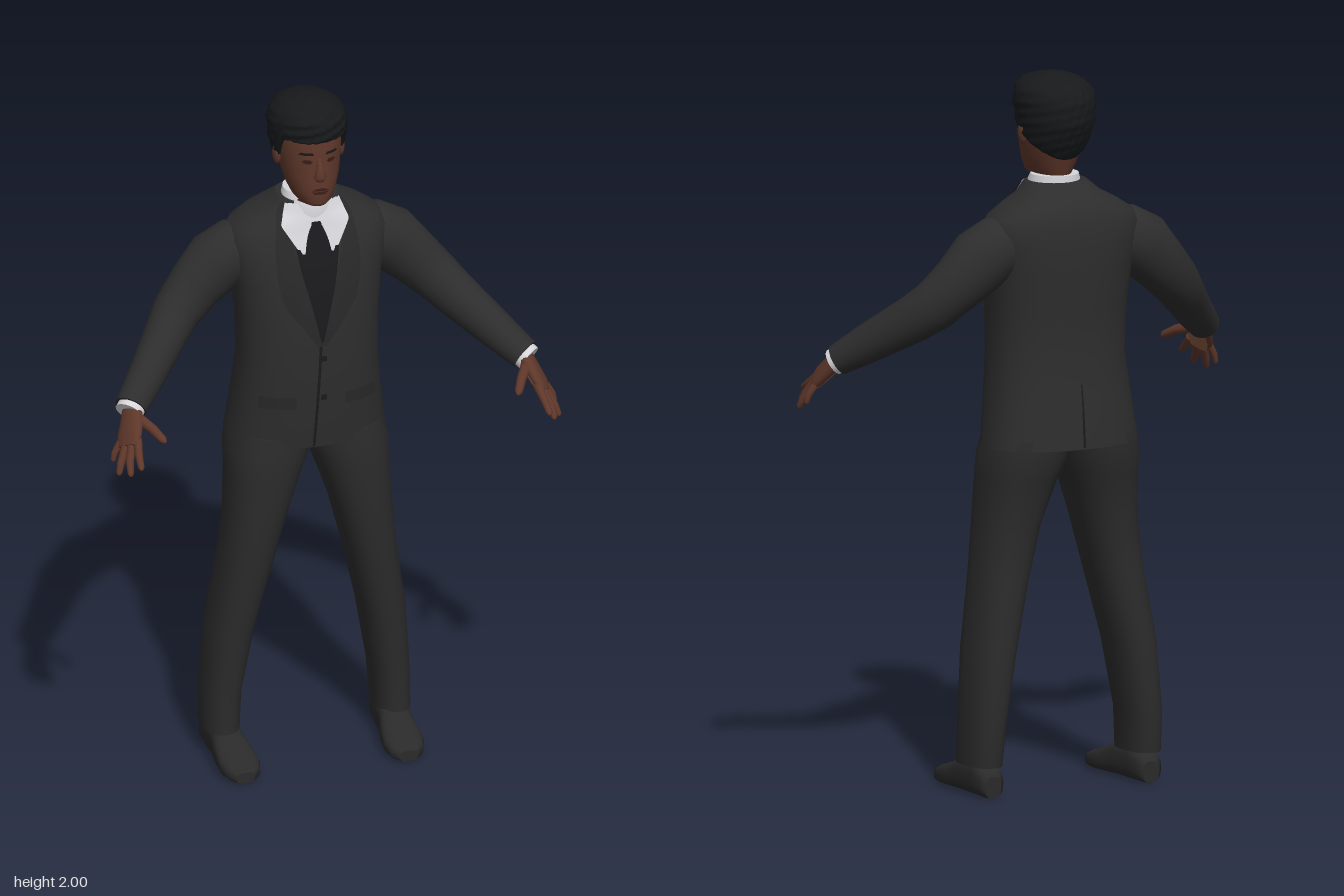
import * as THREE from 'three';

const mat = (name, color, side = THREE.FrontSide) => {
  const m = new THREE.MeshStandardMaterial({ color, side });
  m.name = name;
  return m;
};
const V = (x, y, z) => new THREE.Vector3(x, y, z);
const lerp = THREE.MathUtils.lerp;
const SEG = 40;

// Closed skin over a list of equal-length point loops, with flat end caps
function skin(rings) {
  const n = rings[0].length, pos = [], idx = [];
  const add = (p) => pos.push(p.x, p.y, p.z) / 3 - 1;
  rings.forEach((r) => r.forEach(add));
  for (let i = 0; i < rings.length - 1; i++) {
    for (let j = 0; j < n; j++) {
      const a = i * n + j, b = i * n + (j + 1) % n;
      idx.push(a, b, b + n, a, b + n, a + n);
    }
  }
  [rings[0], rings[rings.length - 1]].forEach((r, end) => {
    const c = add(r.reduce((s, p) => s.add(p), V(0, 0, 0)).divideScalar(n));
    const first = c + 1;
    r.forEach(add);
    for (let j = 0; j < n; j++) {
      const a = first + j, b = first + (j + 1) % n;
      if (end) idx.push(c, a, b); else idx.push(c, b, a);
    }
  });
  return toGeometry(pos, idx);
}

function toGeometry(pos, idx) {
  const g = new THREE.BufferGeometry();
  g.setAttribute('position', new THREE.Float32BufferAttribute(pos, 3));
  g.setIndex(idx);
  g.computeVertexNormals();
  return g;
}

const spow = (v, e) => Math.sign(v) * Math.abs(v) ** e;

// Superellipse loop around c in the plane of u and v
function ring(c, u, v, ru, rv, n = 2, seg = SEG) {
  return Array.from({ length: seg }, (_, j) => {
    const a = j / seg * Math.PI * 2;
    return c.clone().addScaledVector(u, ru * spow(Math.cos(a), 2 / n))
      .addScaledVector(v, rv * spow(Math.sin(a), 2 / n));
  });
}

// Upright body from rows [y, xMin, xMax, zBack, zFront]
function upright(rows, n) {
  return skin(rows.map(([y, a, b, zb, zf]) =>
    ring(V((a + b) / 2, y, (zb + zf) / 2), V(0, 0, 1), V(1, 0, 0), (zf - zb) / 2, (b - a) / 2, n)));
}

// Limb through nodes [point, radius, radius2]
function limb(nodes, ref = V(0, 1, 0), n = 2, seg = 20) {
  return skin(nodes.map(([p, ru, rv = ru], i) => {
    const t = nodes[Math.min(i + 1, nodes.length - 1)][0].clone()
      .sub(nodes[Math.max(i - 1, 0)][0]).normalize();
    const u = ref.clone().cross(t).normalize();
    return ring(p, u, t.clone().cross(u), ru, rv, n, seg);
  }));
}

function rowAt(rows, y) {
  let i = 0;
  while (i < rows.length - 2 && y > rows[i + 1][0]) i++;
  const t = THREE.MathUtils.clamp((y - rows[i][0]) / (rows[i + 1][0] - rows[i][0]), 0, 1);
  return rows[i].map((v, k) => lerp(v, rows[i + 1][k], t));
}

// Thin face laid on the front (dir 1) or back (dir -1) of an upright body; spans are [y, xMin, xMax]
function patch(rows, n, spans, off, dir = 1) {
  const pos = [], idx = [], W = 8, H = 16;
  const y0 = spans[0][0], y1 = spans[spans.length - 1][0];
  for (let i = 0; i <= H; i++) {
    const y = lerp(y0, y1, i / H), [, xa, xb] = rowAt(spans, y), [, a, b, zb, zf] = rowAt(rows, y);
    for (let j = 0; j <= W; j++) {
      const x = lerp(xa, xb, j / W), k = Math.min(0.98, Math.abs(x - (a + b) / 2) / ((b - a) / 2));
      pos.push(x, y, (zb + zf) / 2 + dir * ((zf - zb) / 2 * (1 - k ** n) ** (1 / n) + off));
      if (i < H && j < W) {
        const p = i * (W + 1) + j, q = p + W + 1;
        if (dir > 0) idx.push(p, p + 1, q + 1, p, q + 1, q);
        else idx.push(p, q + 1, p + 1, p, q, q + 1);
      }
    }
  }
  return toGeometry(pos, idx);
}

const flip = (spans, s) => (s > 0 ? spans : spans.map(([y, a, b]) => [y, -b, -a]));

const JACKET = [
  [0.97, -0.225, 0.225, -0.28, 0.025], [1.1, -0.208, 0.208, -0.268, 0.038], [1.22, -0.196, 0.196, -0.248, 0.043],
  [1.35, -0.2, 0.2, -0.255, 0.042], [1.46, -0.212, 0.212, -0.262, 0.03], [1.53, -0.228, 0.228, -0.262, 0.015],
  [1.58, -0.232, 0.232, -0.258, 0], [1.615, -0.21, 0.21, -0.25, -0.012], [1.645, -0.165, 0.165, -0.238, -0.02],
  [1.67, -0.118, 0.118, -0.215, -0.028], [1.7, -0.086, 0.086, -0.178, -0.036],
];
const LEG = [
  [0.085, 0.195, 0.297, -0.213, -0.035], [0.2, 0.188, 0.296, -0.226, -0.037], [0.4, 0.153, 0.282, -0.226, -0.02],
  [0.6, 0.105, 0.25, -0.212, 0.003], [0.75, 0.065, 0.235, -0.213, 0.015], [0.88, 0.02, 0.23, -0.24, 0.02],
  [0.94, -0.005, 0.228, -0.26, 0.02], [1.0, -0.02, 0.212, -0.26, 0.015],
];
const HEAD = [
  [1.62, -0.062, 0.062, -0.165, -0.035], [1.7, -0.058, 0.058, -0.16, -0.025], [1.708, -0.042, 0.042, -0.15, 0.02],
  [1.72, -0.054, 0.054, -0.155, 0.03], [1.75, -0.068, 0.068, -0.165, 0.029], [1.79, -0.079, 0.079, -0.18, 0.028],
  [1.84, -0.087, 0.087, -0.2, 0.022], [1.9, -0.09, 0.09, -0.21, 0.024], [1.95, -0.078, 0.078, -0.19, 0.005],
];
const HAIR = [
  [1.76, -0.07, 0.07, -0.172, 0], [1.81, -0.092, 0.092, -0.205, 0.015], [1.87, -0.104, 0.104, -0.232, 0.026],
  [1.93, -0.109, 0.109, -0.234, 0.034], [1.96, -0.1, 0.1, -0.22, 0.032], [1.98, -0.08, 0.08, -0.19, 0.015],
  [1.993, -0.052, 0.052, -0.15, -0.03], [1.998, -0.02, 0.02, -0.115, -0.07],
];

// Short wavy hair with a high hairline in front and a low nape
function hairGeometry() {
  const rings = [], N = 64, H = 22;
  for (let i = -1; i <= H; i++) {
    rings.push(Array.from({ length: N }, (_, j) => {
      const a = j / N * Math.PI * 2, c = Math.cos(a);
      const low = c > 0 ? lerp(1.83, 1.905, THREE.MathUtils.smoothstep(c, 0.2, 0.6)) : lerp(1.83, 1.765, -c);
      const y = lerp(low, 1.998, Math.max(i, 0) / H), [, , rx, zb, zf] = rowAt(HAIR, y);
      const wave = 0.03 * Math.sin(9 * a + 70 * y) * Math.sin(14 * a - 150 * y) + 0.015 * Math.sin(31 * a + 190 * y);
      const k = i < 0 ? 0.75 : 1 + wave;
      return V(rx * k * Math.sin(a), y + (i === H ? 0.002 : 0), (zb + zf) / 2 + (zf - zb) / 2 * k * c);
    }));
  }
  return skin(rings);
}

export function createModel() {
  const M = {
    jacket: mat('jacket cloth', 0x2d2d2d),
    lapel: mat('lapel cloth', 0x282828, THREE.DoubleSide),
    trousers: mat('trouser cloth', 0x2b2b2b),
    dark: mat('tie and seams', 0x1a1a1c, THREE.DoubleSide),
    shirt: mat('shirt white', 0xd6d6da, THREE.DoubleSide),
    skin: mat('skin', 0x5e372a),
    palm: mat('palm skin', 0x8a5c42),
    hair: mat('hair', 0x17191b),
    shoe: mat('shoe leather', 0x2a2a2b),
    lips: mat('lips and eyes', 0x3c1d18, THREE.DoubleSide),
  };
  const model = new THREE.Group();
  model.name = 'suitedMan';
  const add = (name, geometry, material, parent = model) => {
    const m = new THREE.Mesh(geometry, material);
    m.name = name;
    parent.add(m);
    return m;
  };
  const onJacket = (name, spans, off, material, dir = 1) => add(name, patch(JACKET, 2.4, spans, off, dir), material);
  const onFace = (name, spans, material) => add(name, patch(HEAD, 2.1, spans, 0.003), material);

  // Jacket and the clothes seen in its opening
  add('jacket', upright(JACKET, 2.4), M.jacket);
  onJacket('vest', [[1.3, -0.01, 0.01], [1.5, -0.05, 0.05], [1.68, -0.08, 0.08]], 0.003, M.dark);
  onJacket('shirtFront', [[1.56, -0.045, 0.045], [1.64, -0.08, 0.08], [1.695, -0.07, 0.07]], 0.005, M.shirt);
  onJacket('tie', [[1.35, -0.01, 0.01], [1.54, -0.042, 0.042], [1.6, -0.03, 0.03], [1.645, -0.012, 0.012]], 0.008, M.dark);
  onJacket('frontEdge', [[0.975, -0.022, -0.014], [1.3, -0.006, 0.002]], 0.003, M.dark);
  onJacket('backVent', [[0.975, -0.004, 0.004], [1.15, -0.002, 0.002]], 0.003, M.dark, -1);
  for (const y of [1.13, 1.25]) onJacket('button', [[y - 0.008, -0.002, 0.014], [y + 0.008, -0.002, 0.014]], 0.005, M.dark);
  add('shirtCollar', upright([[1.64, -0.084, 0.084, -0.175, -0.018], [1.69, -0.076, 0.076, -0.17, -0.018],
    [1.718, -0.067, 0.067, -0.168, -0.035]], 2), M.shirt);

  // Head
  add('head', upright(HEAD, 2.1), M.skin);
  add('hair', hairGeometry(), M.hair);
  add('nose', limb([[V(0, 1.855, 0.018), 0.006], [V(0, 1.825, 0.027), 0.01], [V(0, 1.802, 0.031), 0.018, 0.014],
    [V(0, 1.79, 0.027), 0.012, 0.008]], V(0, 0, 1)), M.skin);
  onFace('lowerLip', [[1.748, -0.014, 0.014], [1.757, -0.026, 0.026]], M.lips);
  onFace('upperLip', [[1.759, -0.026, 0.026], [1.767, -0.01, 0.01]], M.lips);

  for (const s of [1, -1]) {
    const P = (x, y, z) => V(s * x, y, z);

    // Face details
    onFace('eye', flip([[1.84, 0.026, 0.04], [1.846, 0.02, 0.048], [1.852, 0.026, 0.042]], s), M.lips);
    onFace('eyebrow', flip([[1.866, 0.016, 0.056], [1.874, 0.02, 0.05]], s), M.hair);
    const ear = add('ear', new THREE.SphereGeometry(1, 14, 10), M.skin);
    ear.scale.set(0.012, 0.032, 0.02);
    ear.position.set(s * 0.091, 1.835, -0.085);

    // Lapels, collar wings and pocket flaps
    onJacket('lapel', flip([[1.29, 0.0, 0.012], [1.42, 0.03, 0.105], [1.5, 0.05, 0.12], [1.58, 0.068, 0.12],
      [1.66, 0.088, 0.108], [1.695, 0.07, 0.084]], s), 0.009, M.lapel);
    onJacket('collarWing', flip([[1.575, 0.05, 0.058], [1.64, 0.012, 0.098], [1.695, 0.045, 0.078]], s), 0.0095, M.shirt);
    onJacket('pocketFlap', flip([[1.1, 0.07, 0.17], [1.135, 0.07, 0.168]], s), 0.005, M.lapel);

    // Sleeve and cuff
    add('sleeve', limb([[P(0.13, 1.535, -0.135), 0.07, 0.075], [P(0.2, 1.528, -0.137), 0.085, 0.09],
      [P(0.25, 1.5, -0.137), 0.084, 0.092], [P(0.31, 1.442, -0.13), 0.074, 0.08], [P(0.375, 1.378, -0.105), 0.066, 0.072],
      [P(0.42, 1.335, -0.06), 0.06, 0.066], [P(0.5, 1.265, 0.03), 0.052, 0.056], [P(0.567, 1.208, 0.1), 0.046, 0.044]]), M.jacket);
    add('cuff', limb([[P(0.555, 1.218, 0.09), 0.04, 0.037], [P(0.576, 1.2, 0.111), 0.04, 0.037]]), M.shirt);

    // Hand
    const hand = new THREE.Group();
    hand.name = s > 0 ? 'leftHand' : 'rightHand';
    model.add(hand);
    const back = V(s * 0.8, 0.53, 0.27);
    const palm = [[P(0.562, 1.215, 0.095), 0.026, 0.022], [P(0.575, 1.185, 0.135), 0.038, 0.02],
      [P(0.59, 1.155, 0.165), 0.043, 0.017], [P(0.6, 1.133, 0.185), 0.036, 0.011]];
    add('handBack', limb(palm, back, 2.3), M.skin, hand);
    add('palm', limb(palm.map(([p, a, b]) => [p.clone().addScaledVector(back, -0.006), a * 0.85, b * 0.9]), back, 2.3), M.palm, hand);
    const fingers = [
      [[0.575, 1.155, 0.19], [0.584, 1.125, 0.235], [0.588, 1.1, 0.275]],
      [[0.589, 1.145, 0.183], [0.606, 1.1, 0.22], [0.61, 1.07, 0.245]],
      [[0.602, 1.135, 0.172], [0.624, 1.09, 0.195], [0.634, 1.06, 0.208]],
      [[0.613, 1.132, 0.152], [0.63, 1.105, 0.155], [0.636, 1.08, 0.158]],
      [[0.562, 1.195, 0.135], [0.53, 1.178, 0.19], [0.507, 1.155, 0.235]],
    ];
    fingers.forEach((f, i) => {
      const [a, b, c] = f.map((p) => P(...p)), k = i === 4 ? 1.25 : i === 3 ? 0.85 : 1;
      add(i === 4 ? 'thumb' : 'finger', limb([[a, 0.013 * k], [b, 0.011 * k], [b.clone().lerp(c, 0.8), 0.009 * k],
        [c, 0.004]], back, 2, 12), M.skin, hand);
    });

    // Trouser leg and shoe
    add('trouserLeg', upright(LEG.map(([y, a, b, zb, zf]) => (s > 0 ? [y, a, b, zb, zf] : [y, -b, -a, zb, zf])), 2.3), M.trousers);
    const shoe = [[-0.207, 0.245, 0.024, 0.06], [-0.195, 0.245, 0.037, 0.08], [-0.14, 0.243, 0.043, 0.105],
      [-0.06, 0.241, 0.046, 0.1], [-0.01, 0.238, 0.054, 0.075], [0.045, 0.236, 0.057, 0.058],
      [0.08, 0.235, 0.046, 0.046], [0.096, 0.235, 0.026, 0.032]];
    add('shoe', skin(shoe.map(([z, x, w, h]) => ring(P(x, h / 2, z), V(1, 0, 0), V(0, 1, 0), w, h / 2, 2.8, 28))), M.shoe);
  }
  return model;
}
